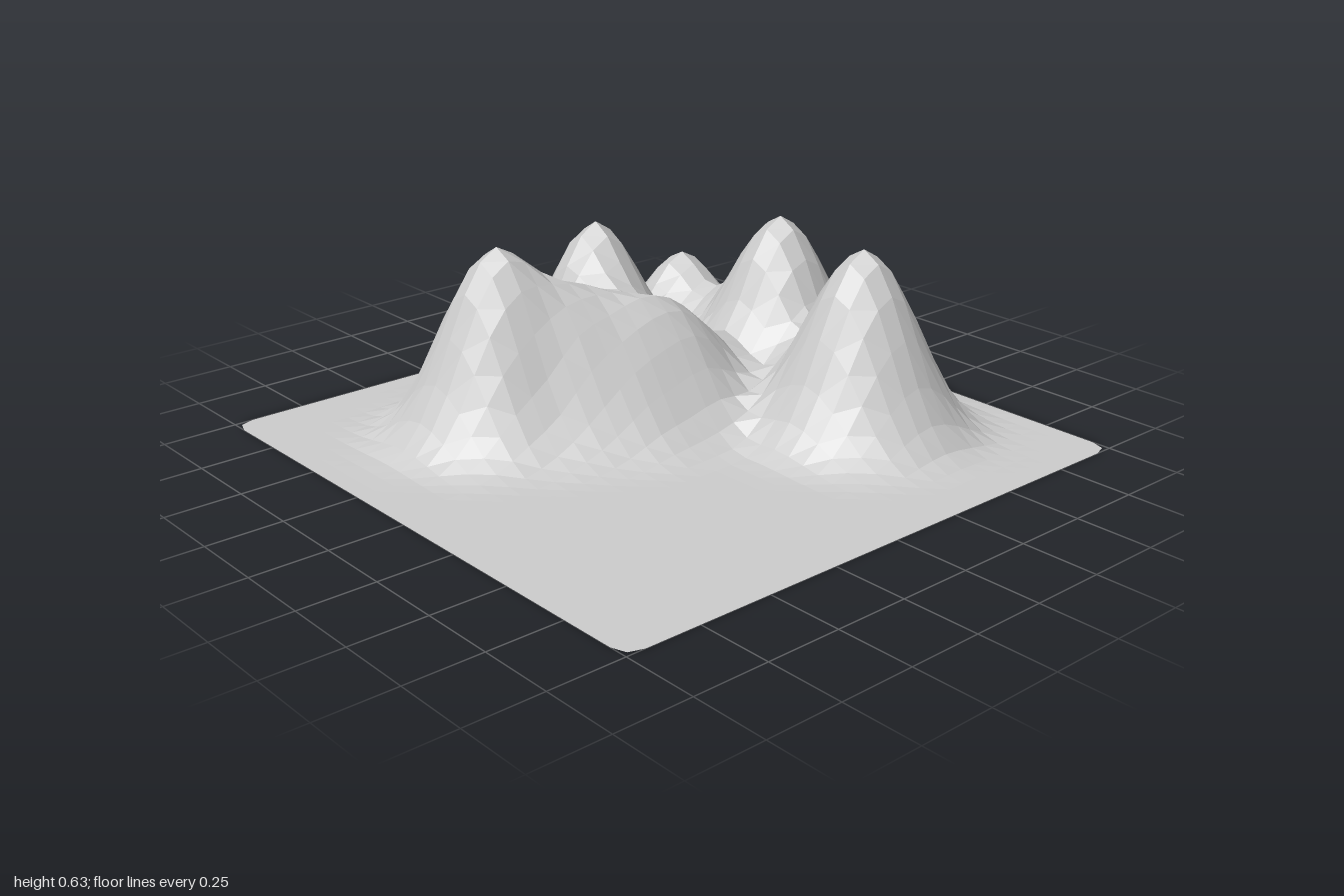
import * as THREE from 'three';

const CELLS = 16;          // coarse control grid
const STEP = 2 / CELLS;

// Hills on the control grid: x, z, height, radius
const HILLS = [
  [-0.375, 0.375, 0.7, 0.46],    // front peak
  [0.375, -0.5, 0.69, 0.46],     // right peak
  [-0.5, -0.125, 0.67, 0.43],    // left peak
  [-0.125, -0.625, 0.67, 0.45],  // back peak
  [-0.625, -0.625, 0.42, 0.37],  // low corner hill
  [-0.375, -0.625, 0.32, 0.3],   // knob beside the low hill
  [-0.25, 0.1875, 0.55, 0.45],   // ridge running back from the front peak
  [-0.16, 0.03, 0.49, 0.44],
  [-0.125, -0.125, 0.45, 0.44],
];

// Highest bell at a control point; the rim stays flat
function controlHeight(i, j) {
  if (i <= 0 || j <= 0 || i >= CELLS || j >= CELLS) return 0;
  const x = i * STEP - 1, z = j * STEP - 1;
  let h = 0;
  for (const [cx, cz, top, r] of HILLS) {
    const d2 = ((x - cx) ** 2 + (z - cz) ** 2) / (r * r);
    if (d2 < 1) h = Math.max(h, top * (1 - d2) ** 3.2);
  }
  return h;
}

// One subdivision step: weights of the control points around fine index k
function stencil(k) {
  const c = Math.floor(k / 2);
  return k % 2 ? [[c, 0.5], [c + 1, 0.5]] : [[c - 1, 0.125], [c, 0.75], [c + 1, 0.125]];
}

function smoothHeight(col, row) {
  let h = 0;
  for (const [i, wi] of stencil(col))
    for (const [j, wj] of stencil(row)) h += wi * wj * controlHeight(i, j);
  return h;
}

export function createModel() {
  const ground = new THREE.MeshStandardMaterial({
    color: 0xcccccc, flatShading: true, side: THREE.DoubleSide,
  });
  ground.name = 'ground grey';

  const n = CELLS * 2;
  const geo = new THREE.PlaneGeometry(2, 2, n, n).rotateX(-Math.PI / 2);
  const pos = geo.attributes.position;
  for (let k = 0; k < pos.count; k++) {
    const col = k % (n + 1), row = Math.floor(k / (n + 1));
    const rimX = col % n === 0, rimZ = row % n === 0;
    // Clipped sheet corners
    const s = rimX && rimZ ? 0.984 : 1;
    const y = rimX || rimZ ? 0 : smoothHeight(col, row);
    pos.setXYZ(k, pos.getX(k) * s, y, pos.getZ(k) * s);
  }
  geo.computeVertexNormals();

  const terrain = new THREE.Mesh(geo, ground);
  terrain.name = 'terrain';
  const group = new THREE.Group();
  group.name = 'mountainTerrain';
  group.add(terrain);
  return group;
}
